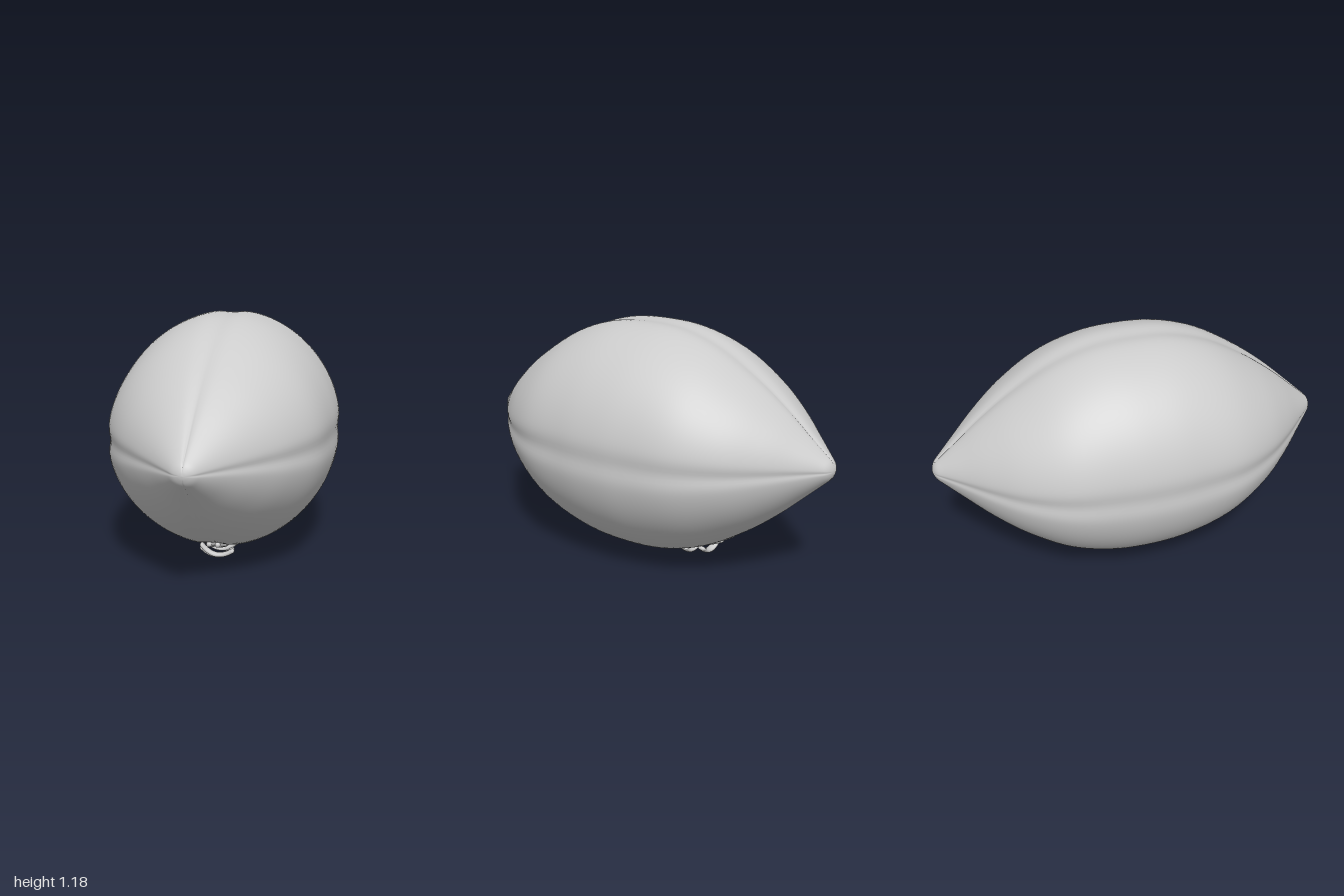
import * as THREE from 'three';
import { mergeVertices } from 'three/addons/utils/BufferGeometryUtils.js';

const CENTRE_Y = 0.608;
const material = new THREE.MeshStandardMaterial({ color: 0xcccccc });

// Radius of the ball against distance from its middle
const HALF_PROFILE = [
  [0, 0.582], [0.2, 0.566], [0.4, 0.499], [0.6, 0.378], [0.75, 0.262],
  [0.87, 0.152], [0.95, 0.077], [0.982, 0.046], [0.996, 0.02], [1, 0],
];

function profileCurve() {
  const half = HALF_PROFILE.map(([l, r]) => new THREE.Vector2(r, l));
  const lower = half.slice(1).reverse().map((p) => new THREE.Vector2(p.x, -p.y));
  return new THREE.SplineCurve([...lower, ...half]);
}

// Height of the ball's underside at z
function undersideY(z) {
  const d = Math.abs(z);
  const i = HALF_PROFILE.findIndex(([l]) => l > d);
  const [l0, r0] = HALF_PROFILE[i - 1];
  const [l1, r1] = HALF_PROFILE[i];
  return CENTRE_Y - THREE.MathUtils.lerp(r0, r1, (d - l0) / (l1 - l0));
}

// Lathed body: narrower than tall in the middle, wider than tall towards
// the tips, with soft valleys along four seams
function makeBody() {
  const points = profileCurve().getPoints(90);
  points.forEach((p) => { p.x = Math.max(0, p.x); });
  let geo = new THREE.LatheGeometry(points, 160);
  geo.rotateX(Math.PI / 2);
  const pos = geo.attributes.position;
  const quarter = Math.PI / 2;
  for (let i = 0; i < pos.count; i++) {
    const x = pos.getX(i), y = pos.getY(i), z = pos.getZ(i);
    const a = Math.atan2(y, x);
    const seam = Math.round(a / quarter);
    const d = a - seam * quarter;
    const valley = (0.02 + 0.03 * z * z) * Math.exp(-((d / 0.1) ** 2));
    // Sharp slit along the top and bottom seams, near the tips
    const slit = seam % 2 === 0 ? 0 : 0.05 * z ** 4 * Math.exp(-((d / 0.02) ** 2));
    const k = 1 - valley - slit - 0.012 * Math.sin(2 * a) ** 2;
    const width = 0.964 + 0.146 * THREE.MathUtils.smoothstep(Math.abs(z), 0.15, 0.7);
    pos.setXYZ(i, x * k * width, y * k, z);
  }
  geo.deleteAttribute('uv');
  geo.deleteAttribute('normal');
  geo = mergeVertices(geo, 1e-5);
  geo.computeVertexNormals();
  const body = new THREE.Mesh(geo, material);
  body.name = 'ballBody';
  body.position.y = CENTRE_Y;
  return body;
}

function tube(name, points, radius, segments) {
  const curve = new THREE.CatmullRomCurve3(points);
  const group = new THREE.Group();
  group.name = name;
  group.add(new THREE.Mesh(new THREE.TubeGeometry(curve, segments, radius, 10), material));
  // Rounded ends
  for (const p of [points[0], points[points.length - 1]]) {
    const end = new THREE.Mesh(new THREE.SphereGeometry(radius, 10, 8), material);
    end.position.copy(p);
    group.add(end);
  }
  return group;
}

function makeLaces() {
  const laces = new THREE.Group();
  laces.name = 'laces';

  // Two long strands lying along the bottom seam
  for (const side of [-1, 1]) {
    const points = [];
    for (let i = 0; i <= 12; i++) {
      const z = THREE.MathUtils.lerp(0.39, -0.445 + side * 0.02, i / 12);
      points.push(new THREE.Vector3(side * 0.021, undersideY(z) - 0.002, z));
    }
    laces.add(tube('longLace', points, 0.014, 40));
  }

  // Flattened cross laces, curving up at both ends
  for (const z of [0.355, 0.297, 0.19, 0.083, -0.024, -0.13, -0.238, -0.345]) {
    const y = Math.abs(z) > 0.33 ? 0.042 : 0.012 + 0.06 * z * z;
    const points = [-0.075, -0.052, -0.025, 0, 0.025, 0.052, 0.075].map(
      (x) => new THREE.Vector3(x, y + 6 * x * x, 0));
    const lace = tube('crossLace', points, 0.011, 20);
    lace.scale.z = 2;
    lace.position.z = z;
    // The foremost lace sits a little askew
    if (z > 0.33) lace.rotation.z = -0.15;
    laces.add(lace);
  }
  return laces;
}

export function createModel() {
  const model = new THREE.Group();
  model.name = 'ball';
  model.add(makeBody(), makeLaces());
  return model;
}
